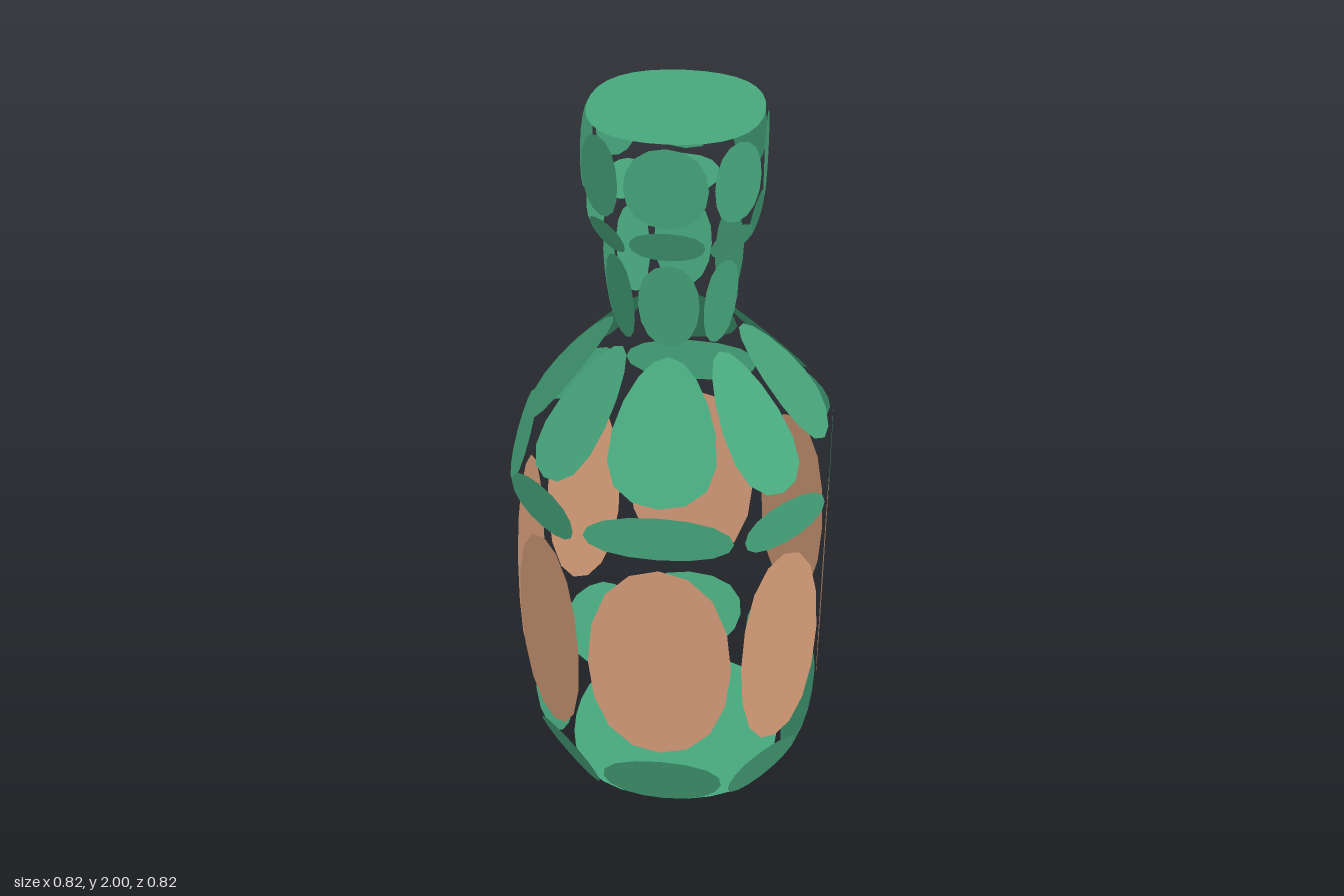
import * as THREE from 'three';

const green = new THREE.MeshStandardMaterial({ color: 0x47a67c, side: THREE.DoubleSide });
green.name = 'bottle green';
const brown = new THREE.MeshStandardMaterial({ color: 0xd49c78, side: THREE.DoubleSide });
brown.name = 'label brown';

// Corners of a square with cut corners, starting at the front edge
function octagon(r, y) {
  const s = r / 2;
  return [[-s, r], [s, r], [r, s], [r, -s], [s, -r], [-s, -r], [-r, -s], [-r, s]]
    .map(([x, z]) => new THREE.Vector3(x, y, z));
}

// Flat plate whose outline is the closed cubic B-spline of its corners
function roundedPlate(corners, name, material) {
  const n = corners.length, steps = 4, outline = [];
  for (let i = 0; i < n; i++) {
    for (let j = 0; j < steps; j++) {
      const t = j / steps, u = 1 - t;
      const weights = [
        u ** 3, 3 * t ** 3 - 6 * t * t + 4,
        -3 * t ** 3 + 3 * t * t + 3 * t + 1, t ** 3,
      ];
      const p = new THREE.Vector3();
      weights.forEach((w, k) => p.addScaledVector(corners[(i + k) % n], w / 6));
      outline.push(p);
    }
  }
  const center = outline.reduce((a, p) => a.add(p), new THREE.Vector3()).divideScalar(outline.length);
  const points = [];
  outline.forEach((p, i) => points.push(center, p, outline[(i + 1) % outline.length]));
  const geometry = new THREE.BufferGeometry().setFromPoints(points);
  geometry.computeVertexNormals();
  const mesh = new THREE.Mesh(geometry, material);
  mesh.name = name;
  return mesh;
}

export function createModel() {
  const bottle = new THREE.Group();
  bottle.name = 'bottle';

  // Levels of the bottle: radius, height, name of the band above it
  const levels = [
    [0.312, 0, 'foot'], [0.41, 0.265, 'label'], [0.41, 0.968, 'belt'],
    [0.41, 1.112, 'shoulder'], [0.148, 1.424, 'neck'], [0.176, 1.685, 'collar'],
    [0.213, 1.783, 'cap'], [0.213, 2],
  ];

  // Eight separate panels in every band
  for (let i = 0; i < levels.length - 1; i++) {
    const name = levels[i][2];
    const low = octagon(levels[i][0], levels[i][1]);
    const high = octagon(levels[i + 1][0], levels[i + 1][1]);
    const band = new THREE.Group();
    band.name = name;
    for (let k = 0; k < 8; k++) {
      const m = (k + 1) % 8;
      band.add(roundedPlate([low[k], low[m], high[m], high[k]], name + 'Panel',
        name === 'label' ? brown : green));
    }
    bottle.add(band);
  }

  // Closing plates
  bottle.add(roundedPlate(octagon(0.213, 2), 'capTop', green));
  bottle.add(roundedPlate(octagon(0.312, 0).reverse(), 'base', green));
  return bottle;
}
